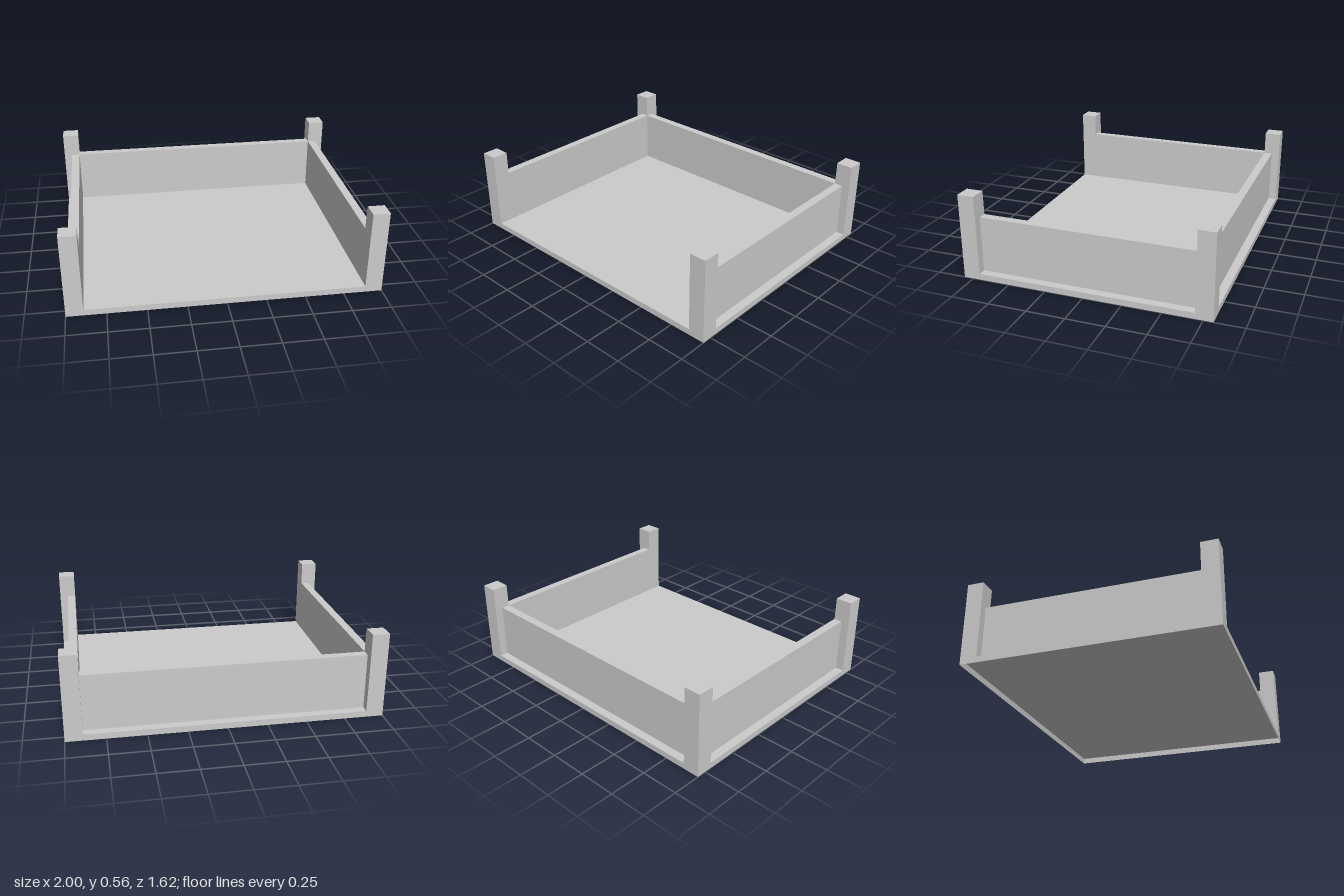
import * as THREE from 'three';

const W = 2, D = 1.624;            // footprint
const BASE = 0.04;                 // base height
const POST = 0.11, POST_TOP = 0.56;
const WALL = 0.055, WALL_TOP = 0.405;

const material = new THREE.MeshStandardMaterial({
  color: 0xcccccc, flatShading: true, side: THREE.DoubleSide,
});

// Box without its underside, standing on y0
function openBox(name, w, y0, y1, d, x, z) {
  const geometry = new THREE.BoxGeometry(w, y1 - y0, d);
  const index = Array.from(geometry.index.array);
  index.splice(18, 6); // drop the bottom face
  geometry.setIndex(index);
  geometry.clearGroups();
  const mesh = new THREE.Mesh(geometry, material);
  mesh.name = name;
  mesh.position.set(x, (y0 + y1) / 2, z);
  return mesh;
}

export function createModel() {
  const group = new THREE.Group();
  group.name = 'openFrontTray';

  // Floor with a thin skirt, hollow underneath
  group.add(openBox('base', W, 0, BASE, D, 0, 0));

  for (const [side, sx] of [['left', 1], ['right', -1]]) {
    // Corner posts
    for (const [end, sz] of [['Front', 1], ['Back', -1]]) {
      group.add(openBox(side + end + 'Post', POST, BASE, POST_TOP, POST,
        sx * (W - POST) / 2, sz * (D - POST) / 2));
    }
    // Side walls, flush with the inner faces of the posts
    group.add(openBox(side + 'Wall', WALL, BASE, WALL_TOP, D - 2 * POST,
      sx * (W / 2 - POST + WALL / 2), 0));
  }

  // Back wall; the front stays open
  group.add(openBox('backWall', W - 2 * POST, BASE, WALL_TOP, WALL,
    0, -(D / 2 - POST + WALL / 2)));

  return group;
}
